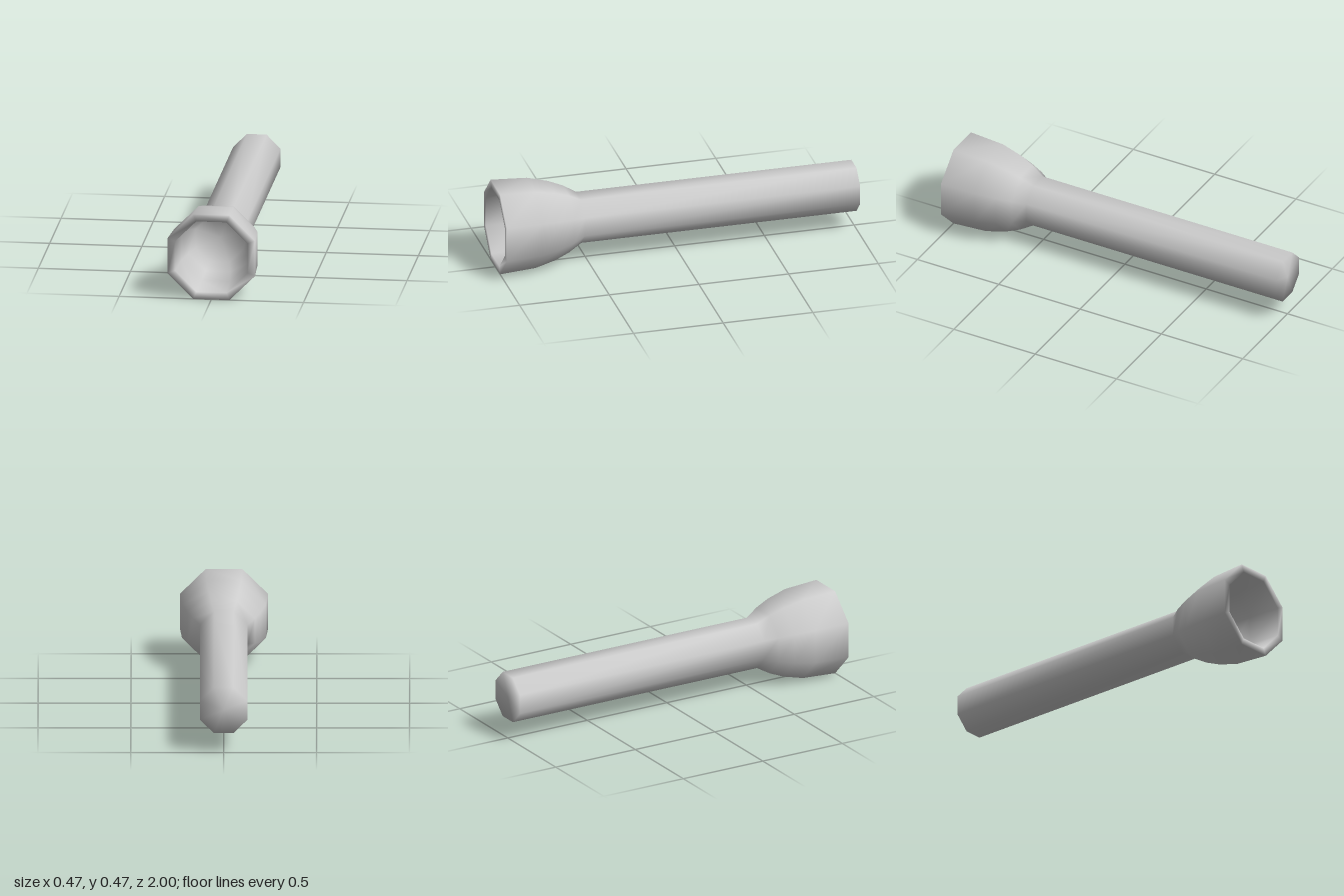
import * as THREE from 'three';
import { mergeVertices } from 'three/addons/utils/BufferGeometryUtils.js';

const SIDES = 8;
const CORNER = 1 / Math.cos(Math.PI / SIDES); // flat-to-flat radius -> corner radius

// Closed octagonal lathe along z with fully smoothed normals; profile is [radius, z]
function octagonLathe(profile) {
  const points = profile.map(([r, z]) => new THREE.Vector2(r * CORNER, z));
  let geometry = new THREE.LatheGeometry(points, SIDES, Math.PI / SIDES);
  geometry.deleteAttribute('uv');
  geometry.deleteAttribute('normal');
  geometry = mergeVertices(geometry, 1e-4);
  geometry.computeVertexNormals();
  return geometry.rotateX(Math.PI / 2);
}

export function createModel() {
  const group = new THREE.Group();
  group.name = 'flashlight';
  const material = new THREE.MeshStandardMaterial({ color: 0xcccccc });

  const body = new THREE.Mesh(octagonLathe([
    // rear cap and handle
    [0, -1], [0.128, -1], [0.128, 0.535],
    // flared head
    [0.167, 0.605], [0.198, 0.685], [0.226, 0.8], [0.237, 1],
    // rim and hollow reflector bowl
    [0.197, 1], [0.186, 0.81], [0.16, 0.71], [0.128, 0.64], [0, 0.6],
  ]), material);
  body.name = 'handleAndHead';
  body.position.y = 0.237;
  group.add(body);

  return group;
}
